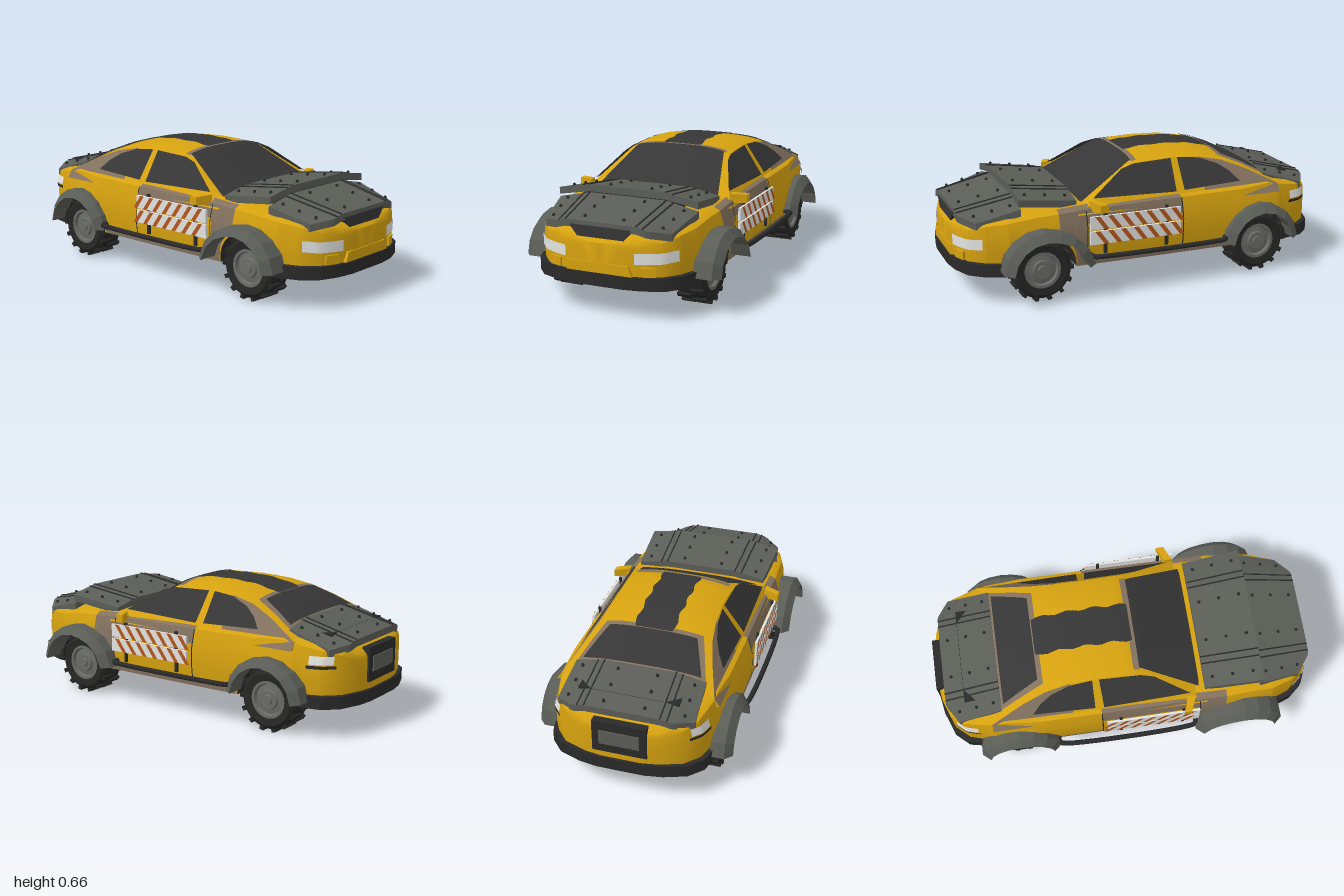
import * as THREE from 'three';
import { toCreasedNormals } from 'three/addons/utils/BufferGeometryUtils.js';

const COLORS = {
  yellowPaint: 0xd6a20f, primer: 0x84725f, armour: 0x5b5d57, trim: 0x2a2a2a, glass: 0x363636,
  tyreRubber: 0x262625, wheelMetal: 0x6a6b67, white: 0xe2e2e0, orange: 0xb5561c,
};
const M = {};
for (const [name, color] of Object.entries(COLORS)) {
  M[name] = new THREE.MeshStandardMaterial({ color, side: THREE.DoubleSide });
  M[name].name = name;
}

// Linear interpolation through [key, value] pairs sorted by rising key
function along(pts, k) {
  if (k <= pts[0][0]) return pts[0][1];
  for (let i = 1; i < pts.length; i++) {
    const [a, va] = pts[i - 1], [b, vb] = pts[i];
    if (k <= b) return va + (vb - va) * (k - a) / (b - a);
  }
  return pts[pts.length - 1][1];
}
function add(parent, name, geo, mat, pos) {
  const m = new THREE.Mesh(geo, M[mat]);
  m.name = name;
  if (pos) m.position.set(...pos);
  parent.add(m);
  return m;
}
const box = (g, name, mat, w, h, d, pos) => add(g, name, new THREE.BoxGeometry(w, h, d), mat, pos);
function warp(geo, fn, crease = 0.5) {
  const p = geo.attributes.position;
  for (let i = 0; i < p.count; i++) p.setXYZ(i, ...fn(p.getX(i), p.getY(i), p.getZ(i)));
  return toCreasedNormals(geo, crease);
}
// Thin painted sheet: fn(u, v) with u and v from 0 to 1
const sheet = (g, name, mat, fn, n = 10) =>
  add(g, name, warp(new THREE.PlaneGeometry(1, 1, n, n), (x, y) => fn(x + 0.5, y + 0.5)), mat);

// Mirrored loft along z; section(z) runs from bottom centre to top centre on +x
function loft(g, name, zs, section, pick) {
  const bins = {};
  const tri = (mat, ...ps) => {
    const b = (bins[mat] ||= []);
    ps.forEach(p => b.push(...p));
    [ps[0], ps[2], ps[1]].forEach(p => b.push(-p[0], p[1], p[2]));
  };
  const rings = zs.map(z => section(z).map(([x, y]) => [x, y, z]));
  for (let i = 1; i < rings.length; i++) {
    const r = rings[i - 1], q = rings[i];
    for (let j = 1; j < r.length; j++) {
      const mat = pick(j - 1, (zs[i] + zs[i - 1]) / 2);
      tri(mat, r[j - 1], r[j], q[j]);
      tri(mat, r[j - 1], q[j], q[j - 1]);
    }
  }
  const first = rings[0], last = rings[rings.length - 1];
  for (let j = 1; j < first.length - 1; j++) {
    tri('yellowPaint', first[0], first[j + 1], first[j]);
    tri('yellowPaint', last[0], last[j], last[j + 1]);
  }
  const geo = new THREE.BufferGeometry(), all = [], mats = [];
  for (const [mat, arr] of Object.entries(bins)) {
    geo.addGroup(all.length / 3, arr.length / 3, mats.length);
    mats.push(M[mat]);
    for (const v of arr) all.push(v);
  }
  geo.setAttribute('position', new THREE.Float32BufferAttribute(all, 3));
  const mesh = new THREE.Mesh(toCreasedNormals(geo, 0.6), mats);
  mesh.name = name;
  g.add(mesh);
}

// Lower body rules: plan half-width, top height, wall bulge, wheel arches
const PLAN = [[-0.985, 0.1], [-0.97, 0.19], [-0.93, 0.3], [-0.86, 0.365], [-0.72, 0.41], [-0.5, 0.43], [0, 0.43],
  [0.5, 0.425], [0.75, 0.4], [0.86, 0.36], [0.93, 0.3], [0.97, 0.2], [0.985, 0.1]];
const TOP = [[-0.985, 0.38], [-0.93, 0.43], [-0.85, 0.455], [-0.66, 0.49], [-0.5, 0.48], [0, 0.475], [0.36, 0.47],
  [0.6, 0.455], [0.85, 0.425], [0.95, 0.395], [0.985, 0.36]];
const BULGE = [[0.16, 0.97], [0.26, 1], [0.36, 1], [0.46, 0.935]];
const AXLES = [0.59, -0.595], ARCH = 0.175, HUB_Y = 0.162;
const wallX = (y, z) => along(PLAN, z) * along(BULGE, y);
const onWall = (z, y, out = 0.005) => [wallX(y, z) + out, y, z + Math.sign(z) * (Math.abs(z) > 0.8 ? out : 0)];
function bodySection(z) {
  const c = AXLES.find(a => Math.abs(z - a) < ARCH + 1e-6);
  const low = c === undefined ? 0.16 : 0.165 + Math.sqrt(Math.max(0, ARCH ** 2 - (z - c) ** 2));
  const inner = c === undefined ? wallX(0.16, z) : 0.25;
  const H = along(TOP, z), S = H - 0.025, ws = wallX(S, z);
  const wall = [0, 0.12, 0.4, 0.75, 1].map(t => { const y = low + (S - low) * t; return [wallX(y, z), y]; });
  return [[0, 0.16], [inner, 0.16], [inner, low], ...wall, [ws * 0.92, H - 0.008], [ws * 0.6, H], [0, H]];
}
function bodyColor(strip, z) {
  if (strip === 1 || strip === 2) return 'trim';
  if (strip === 3 && (Math.abs(z) < 0.41 || z < -0.77)) return 'primer';
  if ((strip === 6 || strip === 7) && z > -0.155 && z < 0.5) return 'primer';
  if (strip > 3 && strip < 6 && z > 0.36 && z < 0.5) return 'primer';
  return 'yellowPaint';
}

// Cabin rules: centre-line height and sloping side plane
const ROOF = [[-0.72, 0.49], [-0.67, 0.515], [-0.55, 0.575], [-0.43, 0.622], [-0.3, 0.648], [-0.15, 0.656],
  [-0.02, 0.652], [0.07, 0.64], [0.2, 0.565], [0.36, 0.475], [0.4, 0.455]];
const sideX = y => 0.385 - (y - 0.46) * 0.69;
const roofY = (x, z) => { const T = along(ROOF, z); return T - 0.03 * (Math.abs(x) / sideX(T - 0.03)) ** 3; };
function cabinSection(z) {
  const edge = sideX(along(ROOF, z) - 0.03);
  return [[0, 0.42], [sideX(0.42), 0.42], ...[1, 0.85, 0.65, 0.4, 0].map(u => [edge * u, roofY(edge * u, z)])];
}
// Quad lying on the cabin top between z0 (half-width w0) and z1 (w1)
const topSheet = (g, name, mat, z0, w0, z1, w1, lift, ragged = 0) => sheet(g, name, mat, (u, v) => {
  const z = z0 + (z1 - z0) * v, w = w0 + (w1 - w0) * v + ragged * Math.sin(v * 23);
  const x = (u * 2 - 1) * w;
  return [x, roofY(x, z) + lift, z + (Math.abs(z) > 0.4 ? Math.sign(z) * lift * 0.4 : 0)];
}, 16);
function sideWindow(g, name, mat, pts, out) {
  const geo = new THREE.ShapeGeometry(new THREE.Shape(pts.map(p => new THREE.Vector2(-p[0], p[1]))));
  add(g, name, warp(geo, (x, y) => [sideX(y) + out, y, -x]), mat);
}

// Bent armour plate with seams and rivets, z0 rear to z1 front
function armourPlate(g, name, { z0, z1, y0, y1, w0, w1, cutRear = 0, cutFront = 0, drop }) {
  const at = (u, v, h) => {
    const a = Math.abs(u), corner = Math.max(0, a - 0.72) / 0.28;
    const za = z0 + cutRear * corner, zb = z1 - cutFront * corner;
    return [u * (w0 + (w1 - w0) * v), y0 + (y1 - y0) * v - drop * Math.max(0, a - 0.55) / 0.45 + h, za + (zb - za) * v];
  };
  const group = new THREE.Group();
  group.name = name;
  g.add(group);
  add(group, 'plate', warp(new THREE.BoxGeometry(2, 0.035, 1, 40, 1, 4), (x, y, z) => at(x, z + 0.5, y - 0.0175)), 'armour');
  for (const s of [-1, 1]) {
    for (const u of [0.55, 0.65]) add(group, 'seam', warp(new THREE.BoxGeometry(0.018, 0.008, 1, 1, 1, 4),
      (x, y, z) => at(s * u + x, z + 0.5, y)), 'trim');
    for (const u of [0.3, 0.85]) for (const v of [0.15, 0.5, 0.85])
      add(group, 'rivet', new THREE.CylinderGeometry(0.006, 0.009, 0.012, 8), 'trim', at(s * u, v, 0.005));
  }
}

function wheel(g, z) {
  const w = new THREE.Group();
  w.name = z > 0 ? 'frontWheel' : 'rearWheel';
  w.position.set(0.345, HUB_Y, z);
  g.add(w);
  const tyre = [[0.09, -0.07], [0.13, -0.075], [0.148, -0.06], [0.152, 0], [0.148, 0.06], [0.13, 0.075], [0.095, 0.07], [0.09, 0.05]];
  const turned = pts => new THREE.LatheGeometry(pts.map(p => new THREE.Vector2(...p)), 24).rotateZ(-Math.PI / 2);
  add(w, 'tyre', toCreasedNormals(turned(tyre), 0.6), 'tyreRubber');
  add(w, 'rim', toCreasedNormals(turned([[0, -0.06], [0.092, -0.06], [0.094, 0.068], [0.08, 0.068], [0.074, 0.052],
    [0.05, 0.056], [0.046, 0.066], [0.025, 0.066], [0.022, 0.074], [0, 0.074]]), 0.4), 'wheelMetal');
  for (let i = 0; i < 28; i++) {
    const a = i / 28 * Math.PI * 2;
    const lug = box(w, 'treadLug', 'tyreRubber', 0.07, 0.018, 0.022, [(i % 2 ? 1 : -1) * 0.035, Math.cos(a) * 0.152, Math.sin(a) * 0.152]);
    lug.rotation.x = a;
  }
}

function fender(g, z, width, flare) {
  add(g, z > 0 ? 'frontFenderArmour' : 'rearFenderArmour', warp(new THREE.BoxGeometry(1, 1, 1, 1, 1, 8), (x, y, t) => {
    const a = 0.1 + (t + 0.5) * 2.95, r = 0.172 + (y + 0.5) * 0.042 + flare * Math.max(0, t - 0.1) * 0.1;
    return [x < 0 ? 0.39 : width - (y + 0.5) * 0.035, 0.165 + r * Math.sin(a), z + r * Math.cos(a)];
  }, 0.1), 'armour');
}

// Crescent bumper following the plan outline; s is 1 for front, -1 for rear
function bumper(g, name, s) {
  const half = PLAN.filter(([z]) => z * s > 0.74).sort((a, b) => s * (a[0] - b[0]));
  const outer = half.map(([z, x]) => [x + 0.02, z + s * 0.012]), inner = half.map(([z, x]) => [x - 0.03, z - s * 0.03]);
  outer.unshift([wallX(0.2, s * 0.74) + 0.018, s * 0.74]);
  inner.unshift([wallX(0.2, s * 0.74) - 0.03, s * 0.74]);
  const flip = a => a.slice().reverse().map(([x, z]) => [-x, z]);
  const loop = [...outer, ...flip(outer), ...inner.map(([x, z]) => [-x, z]), ...inner.slice().reverse()];
  const geo = new THREE.ExtrudeGeometry(new THREE.Shape(loop.map(([x, z]) => new THREE.Vector2(x, -z))), { depth: 0.062, bevelEnabled: false });
  geo.rotateX(-Math.PI / 2).translate(0, 0.154, 0);
  add(g, name, toCreasedNormals(geo, 0.5), 'trim');
}

// Everything on the +x flank; mirrored later
function flank() {
  const g = new THREE.Group();
  AXLES.forEach(z => wheel(g, z));
  fender(g, AXLES[0], 0.52, 1);
  fender(g, AXLES[1], 0.495, 0);
  const front = [[0.31, 0.487], [0.13, 0.6], [0.06, 0.618], [-0.15, 0.625], [-0.14, 0.475]];
  const rear = [[-0.185, 0.625], [-0.3, 0.615], [-0.4, 0.58], [-0.46, 0.54], [-0.505, 0.49], [-0.185, 0.478]];
  sideWindow(g, 'frontSideWindow', 'glass', front, 0.006);
  sideWindow(g, 'rearSideWindow', 'glass', rear, 0.006);
  const patch = (name, mat, z0, z1, y0, y1, tilt = 0) => sheet(g, name, mat,
    (u, v) => onWall(z0 + (z1 - z0) * u, y0 + (y1 - y0) * v + tilt * u), 8);
  patch('headlight', 'white', 0.868, 0.974, 0.285, 0.338, -0.01);
  patch('tailLight', 'white', -0.8, -0.9, 0.365, 0.405);
  patch('tailLightBase', 'trim', -0.79, -0.91, 0.345, 0.36);
  patch('doorSeam', 'trim', -0.152, -0.158, 0.2, 0.45);
  patch('doorFrontSeam', 'trim', 0.362, 0.357, 0.2, 0.44);
  box(g, 'fogPanel', 'yellowPaint', 0.07, 0.045, 0.04, [0.235, 0.24, 0.945]).rotation.y = 0.35;
  // Wing mirror
  box(g, 'mirrorArm', 'yellowPaint', 0.06, 0.015, 0.025, [0.4, 0.452, 0.3]);
  add(g, 'mirror', warp(new THREE.BoxGeometry(0.08, 0.05, 0.04), (x, y, z) =>
    [x + 0.428, y * (x > 0 ? 0.8 : 1) + 0.456, z + 0.3 - x * 0.4], 0.2), 'yellowPaint');
  // Striped barrier boards on the door
  for (const y of [0.307, 0.383]) {
    box(g, 'barrierBoard', 'white', 0.012, 0.068, 0.485, [0.446, y, 0.11]);
    for (let i = 0; i < 7; i++) {
      const z = 0.305 - i * 0.068;
      sheet(g, 'boardStripe', 'orange', (u, v) => [0.4535, y - 0.034 + 0.068 * v, z - u * 0.026 + (v - 0.5) * 0.05], 1);
    }
  }
  for (const z of [0.27, -0.06]) box(g, 'boardStrut', 'trim', 0.012, 0.21, 0.016, [0.437, 0.325, z]);
  // Side step tube
  const path = [[0.41, 0.215, 0.345], [0.46, 0.215, 0.335], [0.472, 0.215, 0.28], [0.472, 0.215, -0.34], [0.46, 0.215, -0.39], [0.41, 0.215, -0.4]];
  add(g, 'sideStep', new THREE.TubeGeometry(new THREE.CatmullRomCurve3(path.map(p => new THREE.Vector3(...p)), false, 'centripetal'), 40, 0.013, 10), 'trim');
  return g;
}

export function createModel() {
  const car = new THREE.Group();
  car.name = 'armouredCar';
  const zs = [...PLAN, ...TOP].map(p => p[0]).concat(-0.77, -0.155, 0.41, -0.41);
  for (const c of AXLES) {
    for (let k = 0; k <= 14; k++) zs.push(c + ARCH * Math.cos(k * Math.PI / 14));
    zs.push(c - ARCH - 0.001, c + ARCH + 0.001);
  }
  loft(car, 'body', [...new Set(zs)].sort((a, b) => a - b), bodySection, bodyColor);
  loft(car, 'cabin', ROOF.map(p => p[0]), cabinSection, (s, z) => s === 1 && z < -0.3 ? 'primer' : 'yellowPaint');

  // Glass and painted roof
  topSheet(car, 'windscreenFrame', 'primer', 0.06, 0.255, 0.03, 0.25, 0.004);
  topSheet(car, 'windscreen', 'glass', 0.365, 0.335, 0.06, 0.245, 0.007);
  topSheet(car, 'rearWindowFrame', 'primer', -0.67, 0.33, -0.43, 0.25, 0.004);
  topSheet(car, 'rearWindow', 'glass', -0.645, 0.3, -0.455, 0.225, 0.008);
  topSheet(car, 'roofStripe', 'glass', 0.045, 0.1, -0.45, 0.1, 0.006, 0.007);

  // Armour over the bonnet and boot
  armourPlate(car, 'bonnetFrontArmour', { z0: 0.68, z1: 0.965, y0: 0.508, y1: 0.45, w0: 0.37, w1: 0.33, cutFront: 0.07, drop: 0.035 });
  armourPlate(car, 'bonnetRearArmour', { z0: 0.39, z1: 0.69, y0: 0.51, y1: 0.55, w0: 0.355, w1: 0.37, drop: 0.03 });
  armourPlate(car, 'bootArmour', { z0: -0.945, z1: -0.66, y0: 0.465, y1: 0.535, w0: 0.34, w1: 0.33, cutRear: 0.06, drop: 0.03 });
  box(car, 'bonnetArmourBrace', 'trim', 0.5, 0.06, 0.2, [0, 0.47, 0.58]);
  box(car, 'bootArmourBrace', 'trim', 0.5, 0.05, 0.15, [0, 0.465, -0.77]);

  // Nose and tail details
  const intake = new THREE.Shape([[-0.16, 0.43], [-0.12, 0.377], [0.12, 0.377], [0.16, 0.43]].map(p => new THREE.Vector2(...p)));
  add(car, 'noseIntake', new THREE.ExtrudeGeometry(intake, { depth: 0.04, bevelEnabled: false }), 'glass', [0, 0, 0.93]);
  const panel = new THREE.Shape([[-0.17, 0.215], [0.17, 0.215], [0.15, 0.265], [-0.15, 0.265]].map(p => new THREE.Vector2(...p)));
  add(car, 'lowerNosePanel', new THREE.ExtrudeGeometry(panel, { depth: 0.025, bevelEnabled: false }), 'yellowPaint', [0, 0, 0.965]);
  box(car, 'tailPanel', 'trim', 0.27, 0.17, 0.04, [0, 0.335, -0.97]);
  box(car, 'tailPlate', 'armour', 0.2, 0.075, 0.01, [0, 0.335, -0.991]);
  bumper(car, 'frontBumper', 1);
  bumper(car, 'rearBumper', -1);

  const left = flank();
  left.name = 'leftFlank';
  const right = left.clone();
  right.name = 'rightFlank';
  right.scale.x = -1;
  car.add(left, right);
  return car;
}
